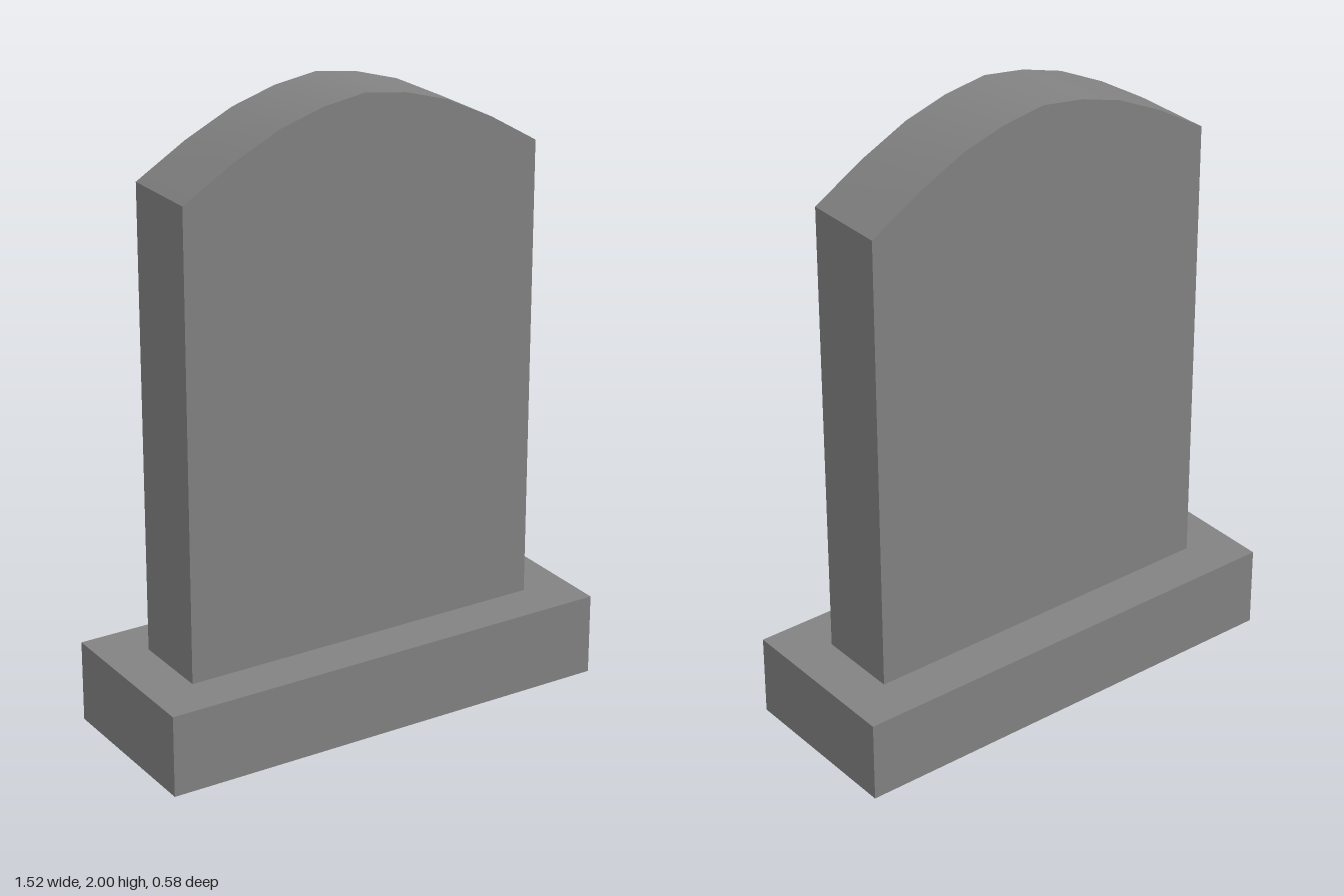
import * as THREE from 'three';
import { toCreasedNormals } from 'three/addons/utils/BufferGeometryUtils.js';

const material = new THREE.MeshStandardMaterial({ color: 0x828282, side: THREE.DoubleSide });

const base = { x: 0.76, z: 0.288, top: 0.265 };
const slab = { x: 0.608, z: 0.136 };

// Keeps only the triangles whose upward normal component passes the test
function keepFaces(geometry, test) {
  const source = geometry.index ? geometry.toNonIndexed() : geometry;
  const pos = source.attributes.position;
  const tri = new THREE.Triangle();
  const normal = new THREE.Vector3();
  const kept = [];
  for (let i = 0; i < pos.count; i += 3) {
    tri.setFromAttributeAndIndices(pos, i, i + 1, i + 2).getNormal(normal);
    if (test(normal.y)) kept.push(...tri.a.toArray(), ...tri.b.toArray(), ...tri.c.toArray());
  }
  const result = new THREE.BufferGeometry();
  result.setAttribute('position', new THREE.Float32BufferAttribute(kept, 3));
  return toCreasedNormals(result, 0.5);
}

function rectangle(x, z) {
  return [[-x, -z], [x, -z], [x, z], [-x, z]].map(([a, b]) => new THREE.Vector2(a, b));
}

function addPart(group, name, geometry) {
  const mesh = new THREE.Mesh(geometry, material);
  mesh.name = name;
  group.add(mesh);
}

export function createModel() {
  const group = new THREE.Group();
  group.name = 'headstone';

  // Plinth: four walls, open underneath
  const walls = new THREE.BoxGeometry(base.x * 2, base.top, base.z * 2);
  walls.translate(0, base.top / 2, 0);
  addPart(group, 'plinthWalls', keepFaces(walls, (ny) => Math.abs(ny) < 0.5));

  // Plinth top: a ledge around the opening of the hollow slab
  const ledge = new THREE.Shape(rectangle(base.x, base.z));
  ledge.holes.push(new THREE.Path(rectangle(slab.x, slab.z).reverse()));
  const ledgeGeometry = new THREE.ShapeGeometry(ledge);
  ledgeGeometry.rotateX(-Math.PI / 2).translate(0, base.top, 0);
  addPart(group, 'plinthLedge', ledgeGeometry);

  // Upright slab with a gently arched top, hollow and open at its foot
  const arch = [[slab.x, 1.762], [0.444, 1.86], [0.286, 1.936], [0.143, 1.979]];
  const outline = [
    [-slab.x, base.top], [slab.x, base.top],
    ...arch, [0, 2],
    ...arch.map(([x, y]) => [-x, y]).reverse(),
  ];
  const stone = new THREE.ExtrudeGeometry(
    new THREE.Shape(outline.map(([x, y]) => new THREE.Vector2(x, y))),
    { depth: slab.z * 2, bevelEnabled: false },
  );
  stone.translate(0, 0, -slab.z);
  addPart(group, 'uprightSlab', keepFaces(stone, (ny) => ny > -0.5));

  return group;
}
